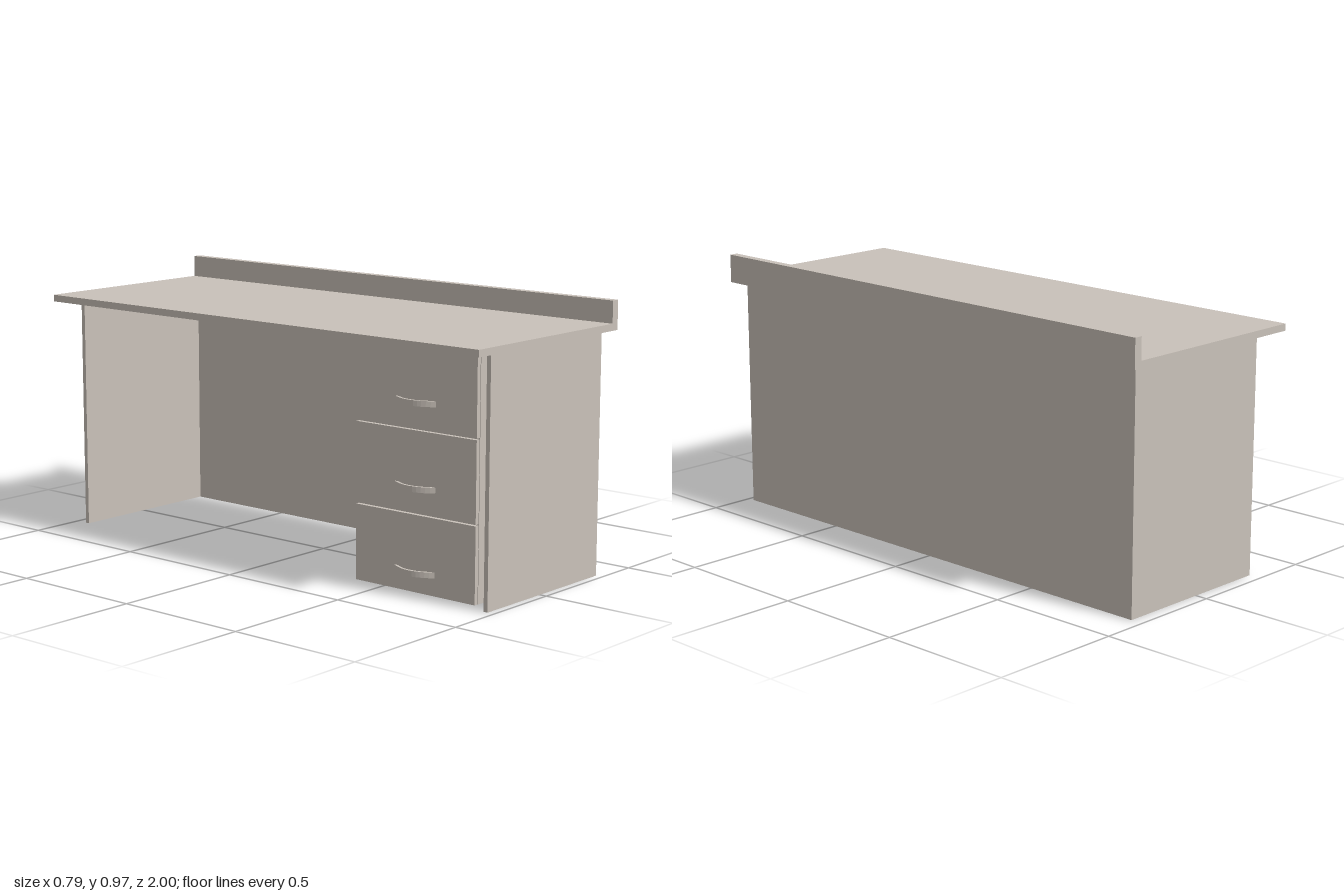
import * as THREE from 'three';

export function createModel() {
  const model = new THREE.Group();
  model.name = 'desk';
  const laminate = new THREE.MeshStandardMaterial({ color: 0xc9c1b9 });
  laminate.name = 'warm grey laminate';

  const add = (name, geometry) => {
    const mesh = new THREE.Mesh(geometry, laminate);
    mesh.name = name;
    model.add(mesh);
    return mesh;
  };
  // Box given by its limits on each axis
  const box = (name, x0, x1, y0, y1, z0, z1) =>
    add(name, new THREE.BoxGeometry(x1 - x0, y1 - y0, z1 - z0))
      .position.set((x0 + x1) / 2, (y0 + y1) / 2, (z0 + z1) / 2);

  const topY = 0.865, board = 0.016;

  // Worktop with raised ledge, one L-shaped profile
  const profile = new THREE.Shape([
    [-0.394, topY], [0.392, topY], [0.392, 0.97], [0.361, 0.97], [0.361, 0.89], [-0.394, 0.89],
  ].map(([x, y]) => new THREE.Vector2(x, y)));
  add('worktop', new THREE.ExtrudeGeometry(profile, { depth: 2, bevelEnabled: false }).translate(0, 0, -1));

  // Supporting panels
  box('frontEndPanel', -0.295, 0.335, 0, topY, 0.974 - board, 0.974);
  box('rearEndPanel', -0.295, 0.335, 0, topY, -0.955, -0.955 + board);
  box('modestyPanel', 0.335 - board, 0.335, 0, topY, -0.955 + board, 0.974 - board);

  // Drawer cabinet
  const z0 = 0.369, z1 = 0.891, face = -0.253;
  box('drawerCabinet', face + board, 0.18, 0, topY, z0, z1);

  // Curved handle: a bowed band, drawn along its length and outward
  const bow = new THREE.Shape();
  bow.moveTo(-0.088, 0);
  bow.quadraticCurveTo(0, 0.066, 0.088, 0);
  bow.lineTo(0.072, 0);
  bow.quadraticCurveTo(0, 0.046, -0.072, 0);
  const handle = new THREE.ExtrudeGeometry(bow, { depth: 0.02, bevelEnabled: false, curveSegments: 12 });
  handle.translate(0, 0, -0.01).applyMatrix4(new THREE.Matrix4().makeBasis(
    new THREE.Vector3(0, 0, 1), new THREE.Vector3(-1, 0, 0), new THREE.Vector3(0, -1, 0)));

  // Three drawer fronts with narrow gaps, each with a handle
  const edges = [0, 0.275, 0.566, topY];
  const handleY = [0.073, 0.366, 0.66];
  for (let i = 0; i < 3; i++) {
    box('drawerFront', face, face + board, edges[i], edges[i + 1] - 0.005, z0 + 0.002, z1 - 0.002);
    add('drawerHandle', handle).position.set(face, handleY[i], (z0 + z1) / 2);
  }
  return model;
}
